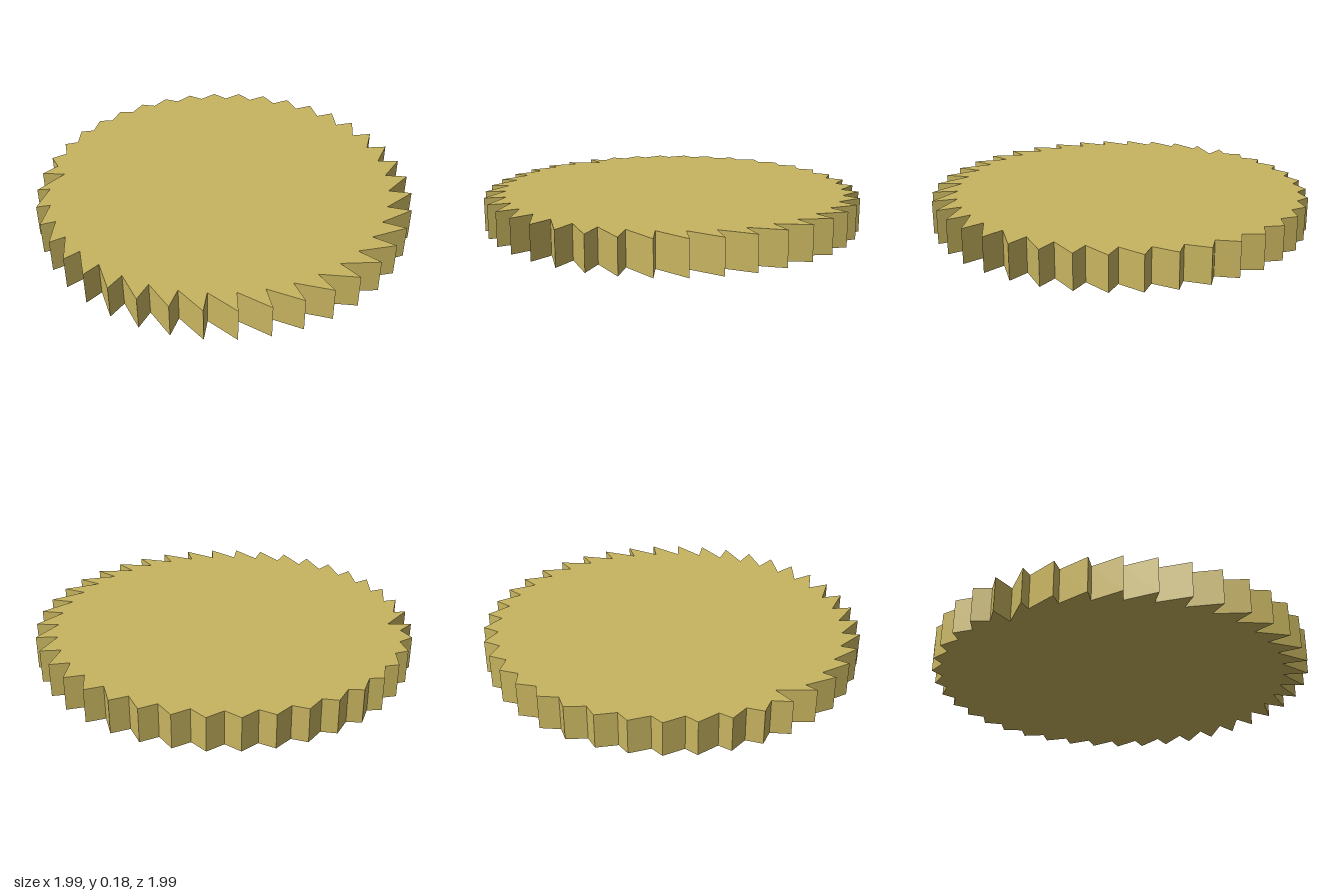
import * as THREE from 'three';

const TEETH = 40;
const THICKNESS = 0.178;
const RAD = Math.PI / 180;

// Angular drift (degrees) of the tooth roots around the wheel: [tooth index, drift]
const DRIFT = [
  [0, -5], [3, -5.8], [6, -5.1], [10, -3.8], [16, 0], [21, 3], [23, 1.6],
  [24, -2.7], [25, -2.4], [27, -1.7], [33, -1.7], [36, -3.1], [40, -5],
];

function driftAt(k) {
  const i = DRIFT.findIndex(([index]) => index > k);
  const [k0, d0] = DRIFT[i - 1];
  const [k1, d1] = DRIFT[i];
  return THREE.MathUtils.lerp(d0, d1, (k - k0) / (k1 - k0));
}

export function createModel() {
  const group = new THREE.Group();
  group.name = 'ratchetWheel';
  const brass = new THREE.MeshStandardMaterial({ color: 0xc8b560 });
  brass.name = 'brass';

  // Tips lie on a unit circle, roots on a smaller circle set off-centre
  const outline = [];
  for (let k = 0; k < TEETH; k++) {
    const tip = (k * 9 - 4.3) * RAD;
    outline.push(new THREE.Vector2(Math.cos(tip), Math.sin(tip)));
    const root = (k * 9 + driftAt(k)) * RAD;
    const r = k === 24 ? 0.85 : 0.909; // the closing tooth is cut deeper
    outline.push(new THREE.Vector2(-0.04 + r * Math.cos(root), 0.01 + r * Math.sin(root)));
  }

  // Flat disc with the toothed rim, laid on the ground
  const geometry = new THREE.ExtrudeGeometry(new THREE.Shape(outline), {
    depth: THICKNESS,
    bevelEnabled: false,
  });
  geometry.rotateX(-Math.PI / 2);
  const wheel = new THREE.Mesh(geometry, brass);
  wheel.name = 'toothedDisc';
  group.add(wheel);
  return group;
}
